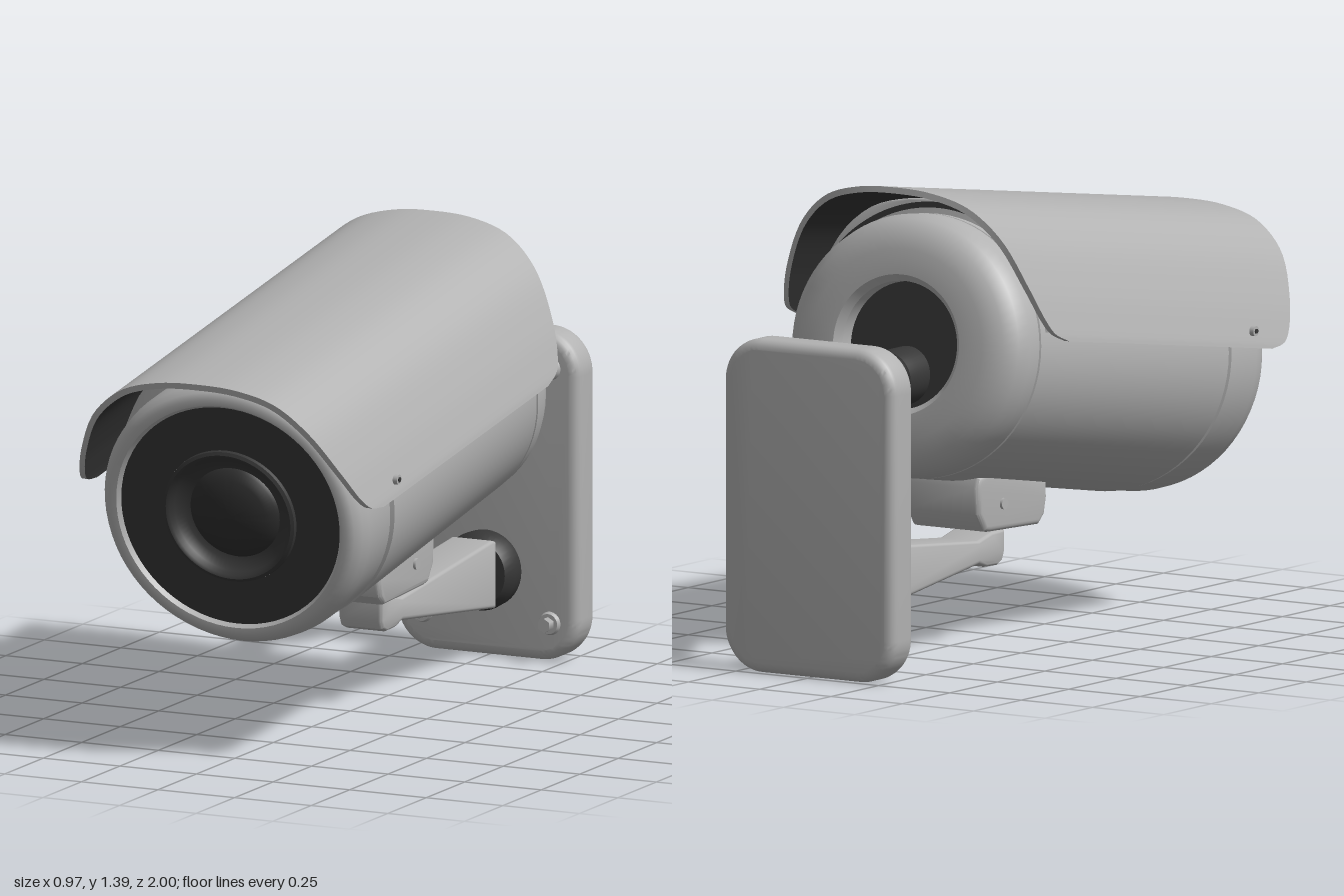
import * as THREE from 'three';
import { toCreasedNormals } from 'three/addons/utils/BufferGeometryUtils.js';

const light = new THREE.MeshStandardMaterial({ color: 0xb2b2b2, side: THREE.DoubleSide });
light.name = 'light grey casing';
const dark = new THREE.MeshStandardMaterial({ color: 0x363636, side: THREE.DoubleSide });
dark.name = 'charcoal';
const glass = new THREE.MeshStandardMaterial({ color: 0x2e2e2e });
glass.name = 'lens black';

function add(parent, name, geometry, material, x = 0, y = 0, z = 0) {
  const mesh = new THREE.Mesh(geometry, material);
  mesh.name = name;
  mesh.position.set(x, y, z);
  parent.add(mesh);
  return mesh;
}

// Profile of [radius, z] pairs turned around the z axis, listed from rear to front
function turned(profile, squash = 1, segments = 72) {
  const geo = new THREE.LatheGeometry(profile.map(([r, z]) => new THREE.Vector2(r, z)), segments);
  geo.rotateX(Math.PI / 2).scale(1, squash, 1);
  return toCreasedNormals(geo, 0.7);
}

// Extrusion centred on its depth, with a bevel that stays inside the outline
function slab(shape, depth, bevel) {
  const geo = new THREE.ExtrudeGeometry(shape, {
    depth: depth - 2 * bevel, bevelThickness: bevel, bevelSize: bevel, bevelOffset: -bevel,
    bevelSegments: 4, curveSegments: 10,
  });
  geo.translate(0, 0, bevel - depth / 2);
  return toCreasedNormals(geo, 0.6);
}

// Side outline of [z, y] pairs, extruded across x
function sideSlab(outline, width, bevel) {
  const shape = new THREE.Shape(outline.map(([z, y]) => new THREE.Vector2(z, y)));
  return slab(shape, width, bevel).rotateY(-Math.PI / 2);
}

// Surface from a point function over a grid
function surface(point, nu, nv) {
  const pos = [], idx = [];
  for (let i = 0; i <= nu; i++) {
    for (let j = 0; j <= nv; j++) {
      pos.push(...point(i / nu, j / nv).toArray());
      if (i < nu && j < nv) {
        const a = i * (nv + 1) + j, b = a + nv + 1;
        idx.push(a, a + 1, b, b, a + 1, b + 1);
      }
    }
  }
  const geo = new THREE.BufferGeometry();
  geo.setAttribute('position', new THREE.Float32BufferAttribute(pos, 3));
  geo.setIndex(idx);
  geo.computeVertexNormals();
  return geo;
}

// Half section of the sun hood: x, y, front edge z, rear edge z
const hoodRows = [
  [0, 0.46, 0.811, -0.746], [0.13, 0.452, 0.81, -0.742], [0.25, 0.418, 0.808, -0.725],
  [0.35, 0.335, 0.797, -0.69], [0.425, 0.2, 0.75, -0.635], [0.46, 0.11, 0.705, -0.585],
  [0.472, 0.075, 0.67, -0.55], [0.477, 0.055, 0.6, -0.48],
];
const mirroredRows = [...hoodRows.slice(1).reverse().map(([x, ...r]) => [-x, ...r]), ...hoodRows];
const frontEdge = new THREE.CatmullRomCurve3(mirroredRows.map(([x, y, f]) => new THREE.Vector3(x, y, f)));
const rearEdge = new THREE.CatmullRomCurve3(mirroredRows.map(([x, y, , b]) => new THREE.Vector3(x, y, b)));

function hoodPoint(u, v, inset) {
  const p = rearEdge.getPoint(u).lerp(frontEdge.getPoint(u), v);
  p.x *= 1 - inset / 0.478;
  p.y -= inset * (p.y - 0.055) / 0.405;
  return p;
}

function buildHood(head) {
  const hood = new THREE.Group();
  hood.name = 'sunHood';
  head.add(hood);
  const thick = 0.018;
  add(hood, 'hoodOuter', surface((u, v) => hoodPoint(u, v, 0), 72, 8), light);
  add(hood, 'hoodLining', surface((u, v) => hoodPoint(u, v, thick), 72, 8), dark);
  for (const v of [0, 1]) {
    add(hood, v ? 'hoodFrontRim' : 'hoodRearRim', surface((u, t) => hoodPoint(u, v, t * thick), 72, 1), light);
    add(hood, 'hoodLowerRim', surface((s, t) => hoodPoint(v, s, t * thick), 4, 1), light);
  }
  // Filler between the hood and the barrel
  const outline = [];
  for (let i = 0; i <= 48; i++) {
    const p = hoodPoint(i / 48, 0, 0.03);
    outline.push(new THREE.Vector2(p.x, Math.max(p.y, 0.08)));
  }
  add(hood, 'hoodSaddle', slab(new THREE.Shape(outline), 1.02, 0.005), light, 0, 0, 0.01);
  // Dark gap above the rear cap
  const slot = new THREE.RingGeometry(0.426, 0.444, 40, 1, Math.PI * 0.22, Math.PI * 0.56);
  add(hood, 'rearSlot', slot.scale(1, 0.95, 1), dark, 0, 0, -0.504);
  // Side screws
  for (const s of [-1, 1]) {
    const screw = new THREE.CylinderGeometry(0.015, 0.015, 0.014, 16).rotateZ(Math.PI / 2);
    add(hood, 'hoodScrew', screw, light, s * 0.474, 0.105, 0.5);
    const socket = new THREE.CylinderGeometry(0.008, 0.008, 0.004, 6).rotateZ(Math.PI / 2);
    add(hood, 'screwSocket', socket, dark, s * 0.482, 0.105, 0.5);
  }
}

function buildHead() {
  const head = new THREE.Group();
  head.name = 'cameraHead';
  head.position.set(0, 0.825, 0.13);
  head.rotation.x = 0.148;
  // Rear cap, barrel and front bezel
  add(head, 'rearCap', turned([
    [0.2, -0.6], [0.2, -0.65], [0.22, -0.67], [0.3, -0.67], [0.36, -0.652],
    [0.395, -0.62], [0.41, -0.58], [0.412, -0.535], [0.4, -0.53],
  ], 0.94), light);
  add(head, 'barrel', turned([[0.4, -0.53], [0.412, -0.525], [0.43, 0.445], [0.415, 0.452]], 0.94), light);
  add(head, 'frontBezel', turned([
    [0.415, 0.452], [0.415, 0.462], [0.426, 0.466], [0.426, 0.6], [0.42, 0.635],
    [0.405, 0.66], [0.385, 0.672], [0.365, 0.67], [0.355, 0.655],
  ], 0.94), light);
  add(head, 'rearRecess', turned([[0, -0.605], [0.2, -0.605]], 0.94).rotateY(Math.PI), dark, 0, 0, -1.21);
  // Front plate, lens ring and lens
  add(head, 'facePlate', turned([[0.356, 0.656], [0.215, 0.656]], 0.94), dark);
  add(head, 'lensRing', turned([
    [0.215, 0.654], [0.213, 0.667], [0.203, 0.672], [0.193, 0.667], [0.185, 0.65], [0.16, 0.63], [0.145, 0.625],
  ], 0.94), dark);
  add(head, 'lens', turned([
    [0.146, 0.624], [0.138, 0.635], [0.11, 0.65], [0.07, 0.661], [0.03, 0.666], [0, 0.667],
  ], 0.94), glass);
  buildHood(head);
  return head;
}

function buildMount() {
  const mount = new THREE.Group();
  mount.name = 'wallMount';
  // Wall plate with rounded corners
  const w = 0.3, h = 0.985, r = 0.13;
  const plate = new THREE.Shape();
  plate.moveTo(-w + r, 0);
  plate.absarc(w - r, r, r, -Math.PI / 2, 0);
  plate.absarc(w - r, h - r, r, 0, Math.PI / 2);
  plate.absarc(-w + r, h - r, r, Math.PI / 2, Math.PI);
  plate.absarc(-w + r, r, r, Math.PI, Math.PI * 1.5);
  add(mount, 'wallPlate', slab(plate, 0.118, 0.03), light, 0, 0, -0.941);
  // Plate bolts
  for (const x of [-0.208, 0.208]) {
    for (const y of [0.115, 0.875]) {
      add(mount, 'boltWasher', new THREE.CylinderGeometry(0.03, 0.036, 0.014, 20).rotateX(Math.PI / 2), light, x, y, -0.877);
      add(mount, 'boltHead', new THREE.CylinderGeometry(0.021, 0.021, 0.03, 6).rotateX(Math.PI / 2), light, x, y, -0.857);
    }
  }
  // Dark swivel joint behind the head
  add(mount, 'swivelJoint', turned([
    [0.106, -0.89], [0.106, -0.8], [0.095, -0.75], [0.075, -0.7], [0.052, -0.685],
    [0.046, -0.61], [0.06, -0.585], [0.08, -0.575], [0.085, -0.53], [0.085, -0.45],
  ], 1, 40), dark, 0, 0.828, 0);
  // Lower support arm with its flange
  add(mount, 'armFlange', turned([[0.115, -0.89], [0.118, -0.84], [0.1, -0.805], [0, -0.8]], 1, 40), dark, 0, 0.26, 0);
  add(mount, 'supportArm', sideSlab([
    [-0.81, 0.16], [-0.2, 0.238], [-0.16, 0.226], [-0.1, 0.224], [-0.075, 0.235], [-0.064, 0.26],
    [-0.064, 0.33], [-0.13, 0.325], [-0.2, 0.308], [-0.79, 0.365], [-0.81, 0.36],
  ], 0.145, 0.014), light);
  // Bracket under the barrel
  add(mount, 'bracketBlock', sideSlab([
    [0.03, 0.333], [0.06, 0.36], [0.072, 0.41], [0.07, 0.46], [-0.2, 0.53], [-0.285, 0.51],
    [-0.295, 0.48], [-0.29, 0.4], [-0.255, 0.348], [-0.23, 0.343],
  ], 0.26, 0.016), light);
  for (const s of [-1, 1]) {
    add(mount, 'bracketScrew', new THREE.CylinderGeometry(0.017, 0.017, 0.012, 16).rotateZ(Math.PI / 2), light, s * 0.132, 0.42, -0.165);
  }
  return mount;
}

export function createModel() {
  const model = new THREE.Group();
  model.name = 'securityCamera';
  model.add(buildHead(), buildMount());
  return model;
}
